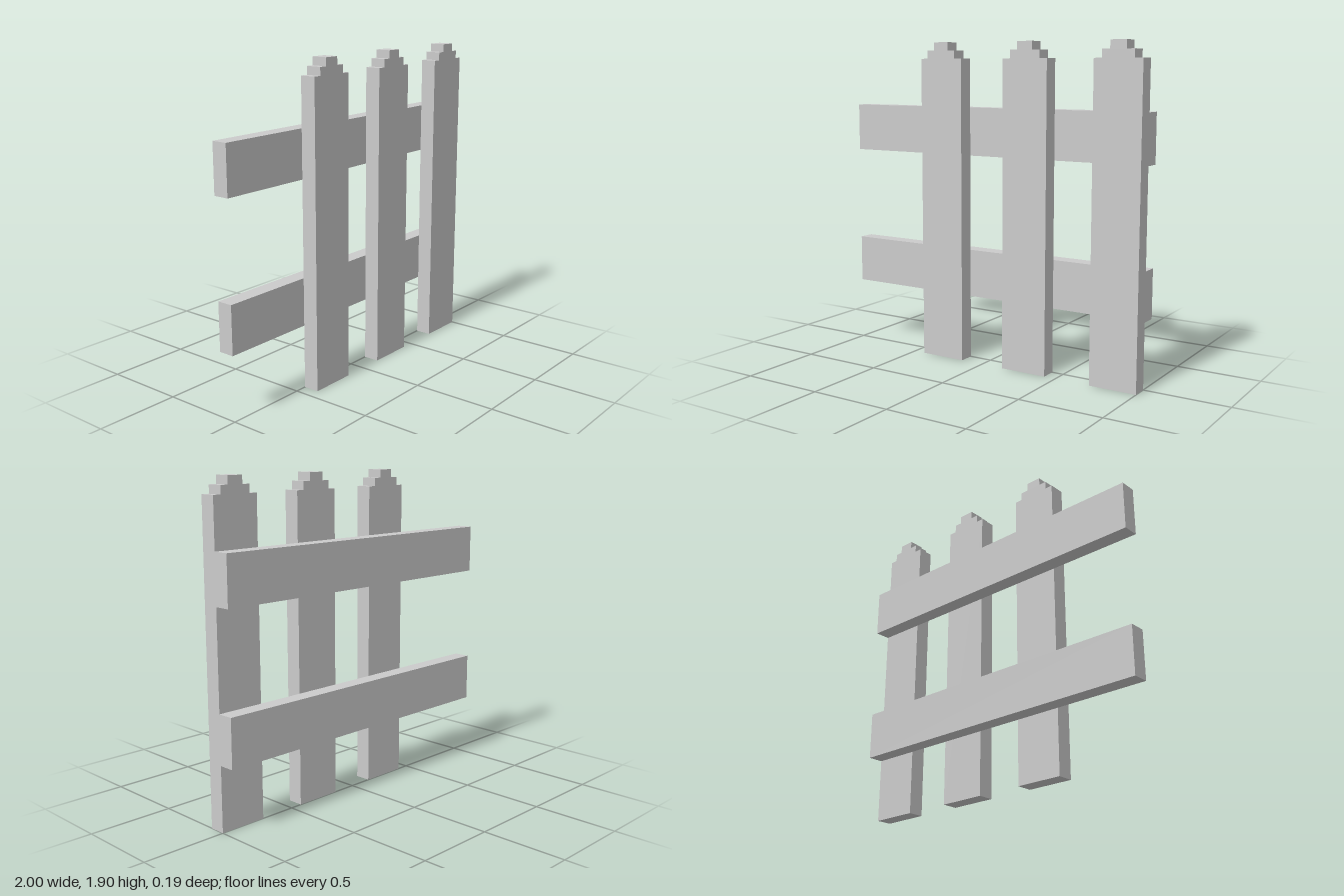
import * as THREE from 'three';

const U = 2 / 21; // one grid unit: board thickness

export function createModel() {
  const group = new THREE.Group();
  group.name = 'picketFence';
  const material = new THREE.MeshStandardMaterial({ color: 0xcccccc, flatShading: true });

  // Picket outline with a stepped top, in grid units
  const half = [[1.5, 0], [1.5, 19], [1, 19], [1, 19.5], [0.5, 19.5], [0.5, 20]];
  const mirrored = half.map(([x, y]) => [-x, y]).reverse();
  const outline = new THREE.Shape([...half, ...mirrored].map(([x, y]) => new THREE.Vector2(x * U, y * U)));
  const picketGeometry = new THREE.ExtrudeGeometry(outline, { depth: U, bevelEnabled: false });

  // Upright pickets at the front
  [-3, 3, 9].forEach((x, i) => {
    const picket = new THREE.Mesh(picketGeometry, material);
    picket.name = `picket${i + 1}`;
    picket.position.x = x * U;
    group.add(picket);
  });

  // Horizontal rails behind the pickets
  const railGeometry = new THREE.BoxGeometry(21 * U, 3 * U, U);
  [['lowerRail', 5.5], ['upperRail', 14.5]].forEach(([name, y]) => {
    const rail = new THREE.Mesh(railGeometry, material);
    rail.name = name;
    rail.position.set(0, y * U, -U / 2);
    group.add(rail);
  });

  return group;
}
